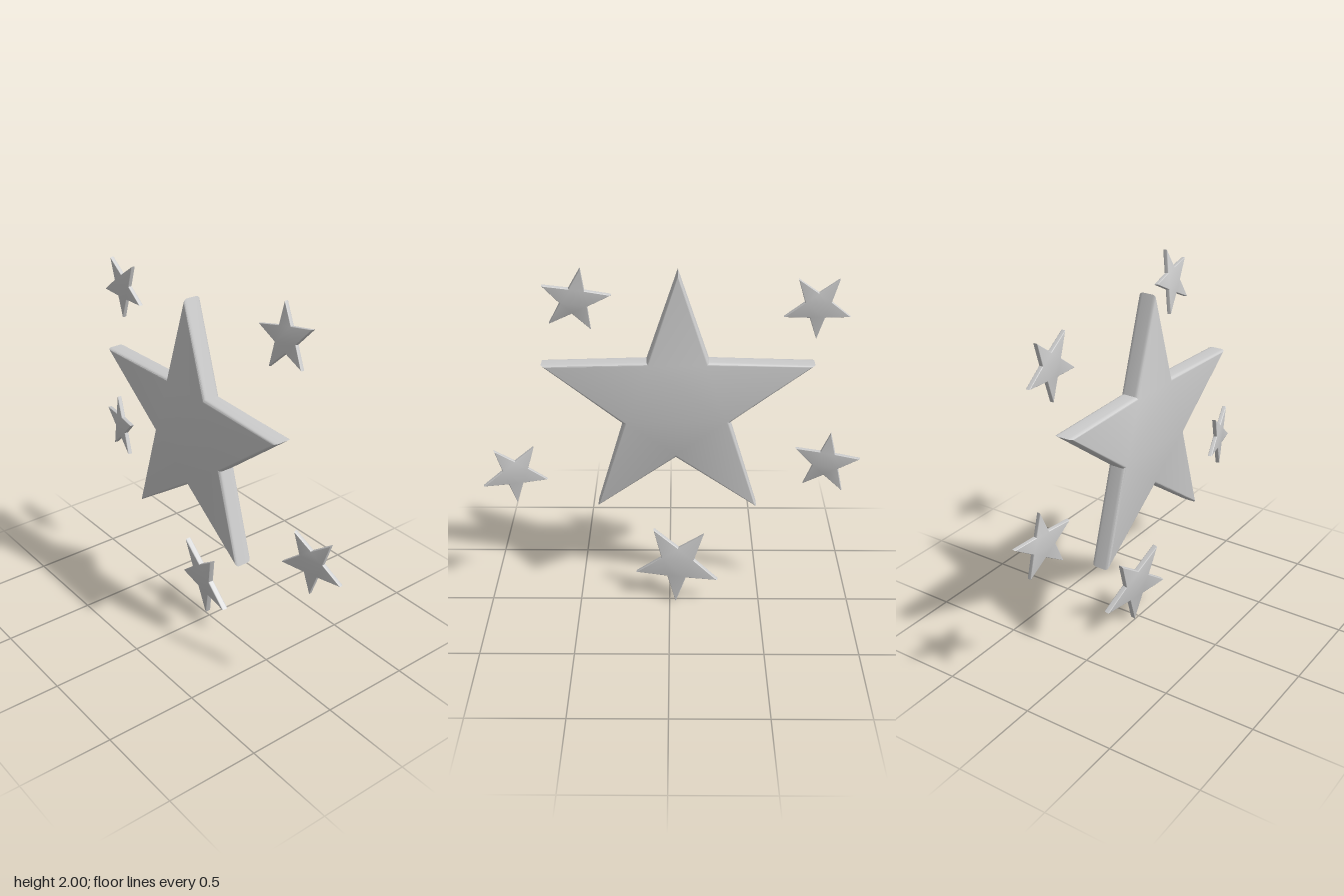
import * as THREE from 'three';
import { toCreasedNormals } from 'three/addons/utils/BufferGeometryUtils.js';

// Slightly irregular five-pointed outline around its centre, tip up
const OUTLINE = [
  [0, 0.72], [0.16, 0.24], [0.702, 0.222], [0.285, -0.11], [0.43, -0.605],
  [0.008, -0.308], [-0.432, -0.61], [-0.277, -0.1], [-0.706, 0.226], [-0.162, 0.242],
];
const THICKNESS = 0.097;
const BEVEL = 0.02;

// Thick star plate with softly rounded rims, centred on its own origin
function starGeometry() {
  const shape = new THREE.Shape(OUTLINE.map(([x, y]) => new THREE.Vector2(x, y)));
  const geometry = new THREE.ExtrudeGeometry(shape, {
    depth: THICKNESS - 2 * BEVEL,
    bevelThickness: BEVEL,
    bevelSize: BEVEL * 0.8,
    bevelOffset: -BEVEL * 0.8,
    bevelSegments: 4,
  });
  geometry.translate(0, 0, BEVEL - THICKNESS / 2);
  return toCreasedNormals(geometry, 0.6);
}

// Small stars: centre, size, turn in the plane (degrees), slope of z along x and y
const SMALL_STARS = [
  { name: 'upperRightStar', at: [-0.735, 1.755, 0.017], size: 0.236, turn: 180, slope: [0, 0] },
  { name: 'upperLeftStar', at: [0.46, 1.83, -0.097], size: 0.24, turn: 11, slope: [-0.09, -0.155] },
  { name: 'middleRightStar', at: [-0.83, 0.885, 0.005], size: 0.243, turn: 5, slope: [0.2, 0] },
  { name: 'middleLeftStar', at: [0.826, 0.807, 0.013], size: 0.243, turn: 180, slope: [-0.24, 0] },
  { name: 'bottomStar', at: [-0.043, 0.237, 0.008], size: 0.325, turn: 181.5, slope: [0.15, 0.11] },
];

export function createModel() {
  const model = new THREE.Group();
  model.name = 'starCluster';
  const material = new THREE.MeshStandardMaterial({ color: 0xcccccc });
  const geometry = starGeometry();

  // Large upright star
  const mainStar = new THREE.Mesh(geometry, material);
  mainStar.name = 'mainStar';
  mainStar.position.set(-0.04, 1.2, 0.078);
  model.add(mainStar);

  // Tilted small stars around it
  const forward = new THREE.Vector3(0, 0, 1);
  for (const { name, at, size, turn, slope } of SMALL_STARS) {
    const star = new THREE.Mesh(geometry, material);
    star.name = name;
    star.position.set(...at);
    star.scale.setScalar(size);
    const normal = new THREE.Vector3(-slope[0], -slope[1], 1).normalize();
    star.quaternion.setFromUnitVectors(forward, normal);
    star.rotateZ(THREE.MathUtils.degToRad(turn));
    model.add(star);
  }
  return model;
}
